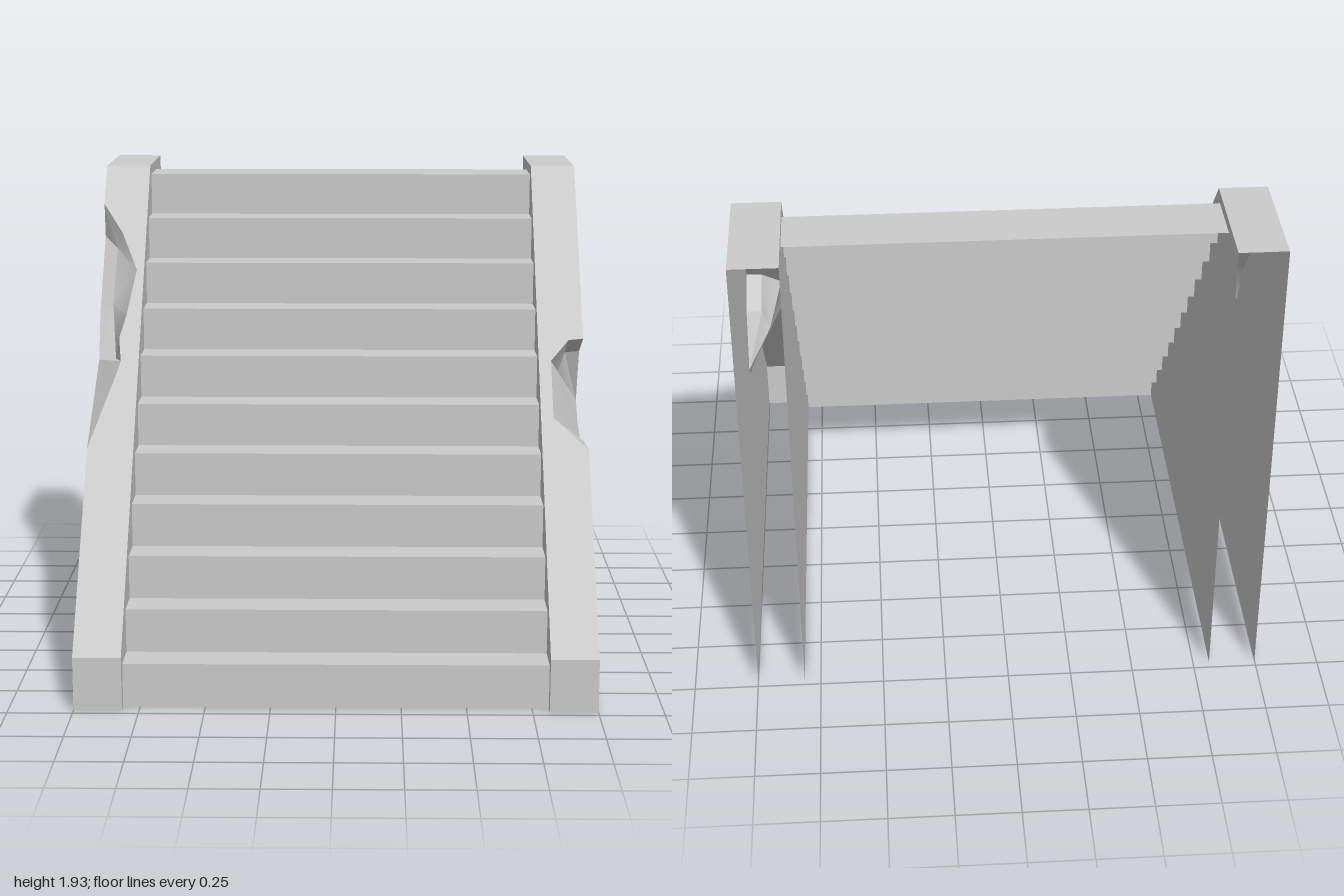
import * as THREE from 'three';
import { toCreasedNormals } from 'three/addons/utils/BufferGeometryUtils.js';

const IN = 0.815, OUT = 1, FRONT = 0.97, BACK = -0.97, TOP = 1.93, LIP = 0.21, CREST = -0.5;
const STEPS = 11, RISE = 1.89 / STEPS, RUN = 0.1468;

const material = new THREE.MeshStandardMaterial({ color: 0xcccccc, side: THREE.DoubleSide });

// Depth of the sloping top of a wall at height y
const slopeZ = (y) => FRONT - (y - LIP) * (FRONT - CREST) / (TOP - LIP);
const onSlope = (x, y) => [x, y, slopeZ(y)];
const onOuter = (z, y) => [OUT, y, z];

// Turns convex corner loops into triangles
function fan(...loops) {
  const tris = [];
  for (const p of loops) for (let i = 1; i < p.length - 1; i++) tris.push([p[0], p[i], p[i + 1]]);
  return tris;
}

// Fills a flat outline, using axes u and v to triangulate, facing the given direction
function sheet(points, u, v, facing) {
  const flat = points.map((p) => new THREE.Vector2(p[u], p[v]));
  const dir = new THREE.Vector3(...facing);
  return THREE.ShapeUtils.triangulateShape(flat, []).map((t) => {
    const tri = t.map((i) => points[i]);
    const n = new THREE.Triangle(...tri.map((p) => new THREE.Vector3(...p))).getNormal(new THREE.Vector3());
    return n.dot(dir) < 0 ? tri.reverse() : tri;
  });
}

// Makes a mesh from triangles, mirrored in x when side is -1
function meshFrom(name, tris, side = 1, crease = 0.1) {
  const pos = [];
  for (const t of tris) {
    for (const p of side < 0 ? [...t].reverse() : t) pos.push(p[0] * side, p[1], p[2]);
  }
  const g = new THREE.BufferGeometry();
  g.setAttribute('position', new THREE.Float32BufferAttribute(pos, 3));
  g.computeVertexNormals();
  const mesh = new THREE.Mesh(toCreasedNormals(g, crease), material);
  mesh.name = name;
  return mesh;
}

// Small broken chunk: rim runs down the slope, edge runs back up the outer face
function leftChip() {
  const rim = [onSlope(1, 1.28), onSlope(0.94, 1.275), onSlope(0.865, 1.2), onSlope(0.865, 1.0), onSlope(1, 0.89)];
  const edge = [onOuter(0.187, 0.88), onOuter(0.02, 0.855), onOuter(-0.1, 0.9), onOuter(-0.187, 0.974), onOuter(-0.1, 1.2)];
  const [a, b, c, d, e] = rim, [f, g, h, i, j] = edge;
  const k = [0.91, 1.11, -0.085], l = [0.94, 1.195, -0.095];
  return { rim, edge, tris: fan([a, b, l, j], [b, c, k, l], [l, k, i, j], [c, d, g, h, i, k], [d, e, f, g]) };
}

// Long broken chunk made of two scoops with a ledge between
function rightChip() {
  const rim = [[1, 1.78], [0.915, 1.67], [0.845, 1.53], [0.877, 1.36], [0.9, 1.28], [0.888, 1.195], [0.91, 1.13], [1, 0.89]]
    .map((p) => onSlope(...p));
  const edge = [onOuter(0.09, 1.07), onOuter(-0.07, 1.165), onOuter(-0.145, 1.35), onOuter(-0.39, 1.64)];
  const [a, b, c, d, e, f, g, h] = rim, [i, j, k, l] = edge;
  const p = [0.94, 1.6, -0.31], q = [0.945, 1.39, -0.145], r = [0.93, 1.17, -0.07];
  return {
    rim, edge,
    tris: fan([a, b, p, l], [b, c, p], [c, d, q, p], [p, q, k, l], [d, e, r, q], [q, r, j, k], [e, f, r], [f, g, i, j, r], [g, h, i]),
  };
}

// Hollow side wall, open at the back and underneath
function wall(name, side, chip) {
  const { rim, edge, tris } = chip;
  const profile = (x) => [[x, LIP, FRONT], [x, 0, FRONT], [x, 0, BACK], [x, TOP, BACK], [x, TOP, CREST]];
  const outer = profile(OUT), inner = profile(IN);
  const first = rim[0], last = rim[rim.length - 1];

  const group = new THREE.Group();
  group.name = name;
  const add = (part, t, crease) => group.add(meshFrom(part, t, side, crease));
  add('outerFace', sheet([...outer, first, ...[...edge].reverse(), last], 2, 1, [1, 0, 0]));
  add('innerFace', sheet(inner, 2, 1, [-1, 0, 0]));
  add('slopedTop', sheet([inner[0], inner[4], outer[4], ...rim, outer[0]], 0, 1, [0, 1, 1]));
  add('flatTop', sheet([inner[4], inner[3], outer[3], outer[4]], 0, 2, [0, 1, 0]));
  add('frontFace', sheet([inner[0], inner[1], outer[1], outer[0]], 0, 1, [0, 0, 1]));
  add('brokenChunk', tris, 0.6);
  return group;
}

// Thin folded flight of risers and treads
function stairs() {
  const group = new THREE.Group();
  group.name = 'stairs';
  const row = (y, z) => [[-IN, y, z], [IN, y, z]];
  for (let i = 0; i < STEPS; i++) {
    const z = 0.925 - i * RUN, y = i * RISE;
    const [a, b] = row(y, z), [c, d] = row(y + RISE, z);
    const [e, f] = row(y + RISE, i === STEPS - 1 ? -0.76 : z - RUN);
    group.add(meshFrom('riser', fan([a, b, d, c])), meshFrom('tread', fan([c, d, f, e])));
  }
  return group;
}

export function createModel() {
  const model = new THREE.Group();
  model.name = 'staircase';
  model.add(stairs(), wall('leftWall', 1, leftChip()), wall('rightWall', -1, rightChip()));
  return model;
}
